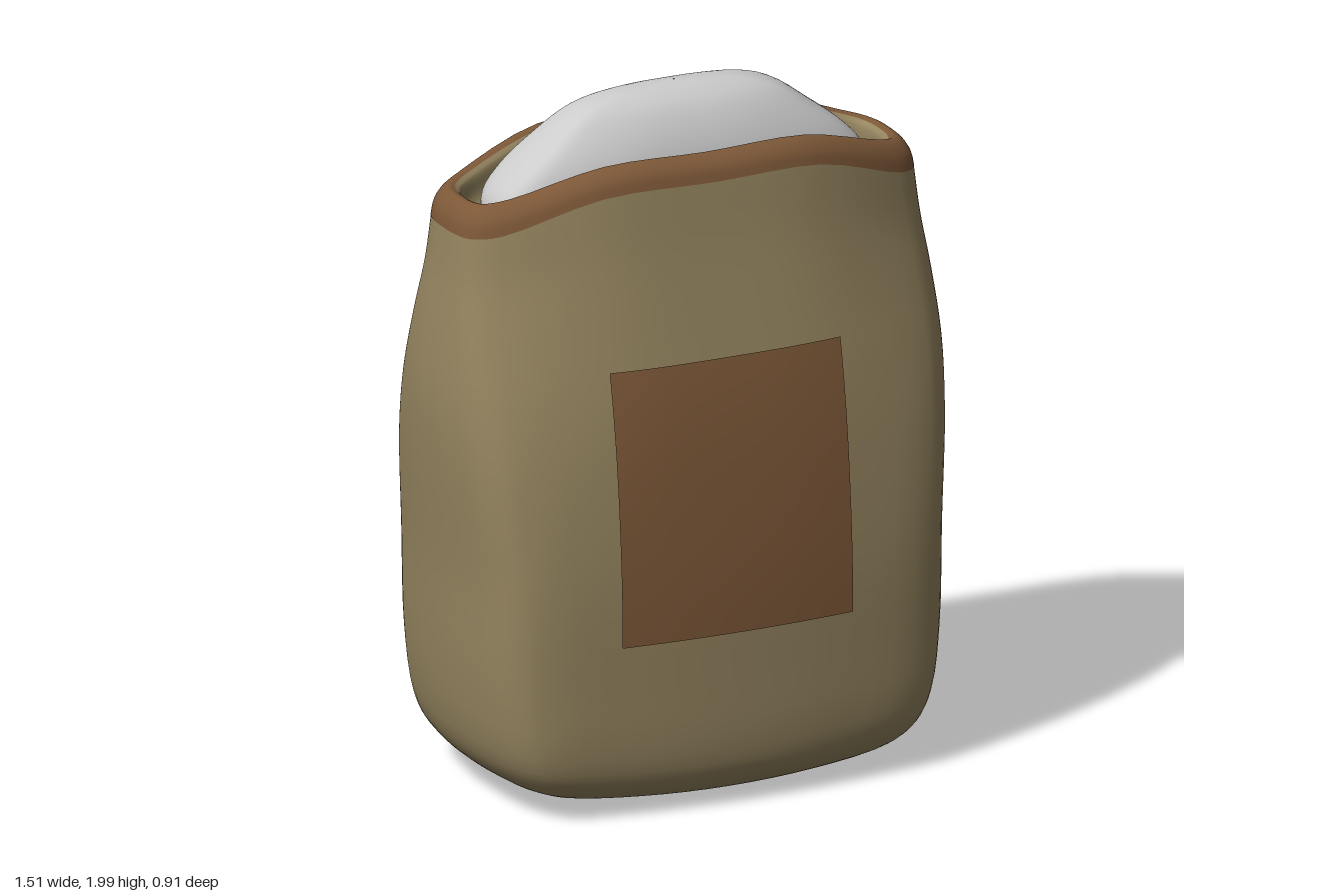
import * as THREE from 'three';

const KHAKI = 0x94845f, BROWN = 0x7d5838, GREY = 0xcccccc;
const AROUND = 80;
const { smoothstep, lerp } = THREE.MathUtils;

// Quarter outlines as fractions of half-width and half-depth: full belly and narrow mouth
const BELLY = [[1, 0], [0.985, 0.35], [0.93, 0.70], [0.83, 0.865], [0.46, 0.965], [0, 1]];
const MOUTH = [[1, 0], [0.995, 0.25], [0.965, 0.48], [0.87, 0.66], [0.47, 0.945], [0, 1]];

// One closed ring. Row: [y, halfWidth, frontDepth, backDepth, sag at the ends, lift at the ends]
function ring([y, w, front, back, sag = 0, lift = 0], blend) {
  const quarter = BELLY.map((p, i) => [lerp(p[0], MOUTH[i][0], blend), lerp(p[1], MOUTH[i][1], blend)]);
  const outline = [];
  const n = quarter.length - 1;
  for (let i = 0; i < n; i++) outline.push([quarter[i][0], quarter[i][1]]);
  for (let i = n; i > 0; i--) outline.push([-quarter[i][0], quarter[i][1]]);
  for (let i = 0; i < n; i++) outline.push([-quarter[i][0], -quarter[i][1]]);
  for (let i = n; i > 0; i--) outline.push([quarter[i][0], -quarter[i][1]]);
  const curve = new THREE.CatmullRomCurve3(outline.map(([a, b]) => {
    const x = a * w;
    const drop = sag * 0.1 * smoothstep(Math.abs(x), 0.28, 0.7);
    return new THREE.Vector3(x, y - drop + lift * a * a, b * (b > 0 ? front : back));
  }), true);
  return Array.from({ length: AROUND }, (_, i) => curve.getPoint(i / AROUND));
}

// Smooth skin through a stack of rings
function loft(rows, blendAt, stepsPerRow = 4) {
  const rings = rows.map((r) => ring(r, blendAt(r[0])));
  const levels = (rows.length - 1) * stepsPerRow;
  const columns = Array.from({ length: AROUND }, (_, i) =>
    new THREE.CatmullRomCurve3(rings.map((r) => r[i])));
  const pos = [], index = [];
  for (let j = 0; j <= levels; j++) {
    for (const c of columns) pos.push(...c.getPoint(j / levels).toArray());
  }
  for (let j = 0; j < levels; j++) {
    for (let i = 0; i < AROUND; i++) {
      const k = (i + 1) % AROUND;
      const a = j * AROUND + i, c = j * AROUND + k, b = a + AROUND, d = c + AROUND;
      index.push(a, b, c, c, b, d);
    }
  }
  const geo = new THREE.BufferGeometry();
  geo.setAttribute('position', new THREE.Float32BufferAttribute(pos, 3));
  geo.setIndex(index);
  geo.computeVertexNormals();
  return geo;
}

function part(name, geo, color) {
  const mesh = new THREE.Mesh(geo, new THREE.MeshStandardMaterial({ color, side: THREE.DoubleSide }));
  mesh.name = name;
  return mesh;
}

// Rectangular cloth patch draped on the sack; side is +1 front or -1 back
function patch(name, sack, side, x0, x1, y0, y1) {
  const geo = new THREE.PlaneGeometry(x1 - x0, y1 - y0, 12, 16);
  geo.translate((x0 + x1) / 2, (y0 + y1) / 2, 0);
  if (side < 0) geo.scale(-1, 1, 1).rotateY(0);
  const ray = new THREE.Raycaster();
  const p = geo.attributes.position;
  for (let i = 0; i < p.count; i++) {
    const x = side < 0 ? x0 + x1 + p.getX(i) : p.getX(i);
    ray.set(new THREE.Vector3(x, p.getY(i), side * 2), new THREE.Vector3(0, 0, -side));
    const hit = ray.intersectObject(sack)[0];
    p.setXYZ(i, x, p.getY(i), hit.point.z + side * 0.007);
  }
  // mirrored grid on the back keeps its faces outward
  if (side < 0) {
    for (let i = 0; i < p.count; i++) p.setX(i, x0 + x1 - p.getX(i));
    const idx = geo.index.array;
    for (let i = 0; i < idx.length; i += 3) [idx[i], idx[i + 1]] = [idx[i + 1], idx[i]];
  }
  geo.computeVertexNormals();
  return part(name, geo, BROWN);
}

export function createModel() {
  const model = new THREE.Group();
  model.name = 'filledSack';
  const taper = (y) => smoothstep(y, 0.7, 1.72);

  // Cloth body from the rounded base up to the collar
  const sack = part('sackBody', loft([
    [0.005, 0.002, 0.002, 0.002],
    [0.008, 0.25, 0.16, 0.16, 0, 0.006],
    [0.025, 0.49, 0.32, 0.31, 0, 0.025],
    [0.05, 0.60, 0.39, 0.365, 0, 0.035],
    [0.10, 0.66, 0.432, 0.41, 0, 0.04],
    [0.18, 0.695, 0.45, 0.43, 0, 0.04],
    [0.40, 0.72, 0.452, 0.442],
    [0.70, 0.73, 0.446, 0.44],
    [1.00, 0.753, 0.42, 0.405],
    [1.20, 0.756, 0.39, 0.362],
    [1.40, 0.738, 0.348, 0.315, 0.15],
    [1.60, 0.715, 0.307, 0.272, 0.6],
    [1.78, 0.702, 0.278, 0.245, 1.1],
  ], taper), KHAKI);
  model.add(sack);

  // Folded collar round the mouth
  model.add(part('collar', loft([
    [1.78, 0.703, 0.279, 0.246, 1.1],
    [1.815, 0.695, 0.268, 0.24, 1.05],
    [1.84, 0.675, 0.246, 0.224, 1],
    [1.85, 0.655, 0.222, 0.204, 1],
    [1.842, 0.638, 0.205, 0.19, 1],
  ], () => 1), BROWN));

  // Inner wall, turning in under the contents
  model.add(part('lining', loft([
    [1.842, 0.638, 0.205, 0.19, 1],
    [1.825, 0.625, 0.192, 0.178, 1],
    [1.77, 0.62, 0.19, 0.176, 1],
    [1.74, 0.60, 0.18, 0.168, 1],
    [1.73, 0.53, 0.15, 0.14, 1],
  ], () => 1), KHAKI));

  // Heaped contents showing above the mouth
  const heap = part('contents', loft([
    [1.64, 0.57, 0.15, 0.15],
    [1.73, 0.565, 0.165, 0.17],
    [1.80, 0.51, 0.16, 0.17],
    [1.88, 0.41, 0.135, 0.15],
    [1.95, 0.31, 0.092, 0.105],
    [1.985, 0.20, 0.045, 0.055],
    [1.998, 0.002, 0.002, 0.002],
  ], () => 0.8), GREY);
  heap.position.z = 0.015;
  model.add(heap);

  // Patches front and back
  model.add(patch('frontPatch', sack, 1, -0.36, 0.345, 0.52, 1.30));
  model.add(patch('backPatch', sack, -1, -0.36, 0.355, 0.52, 1.30));
  return model;
}
